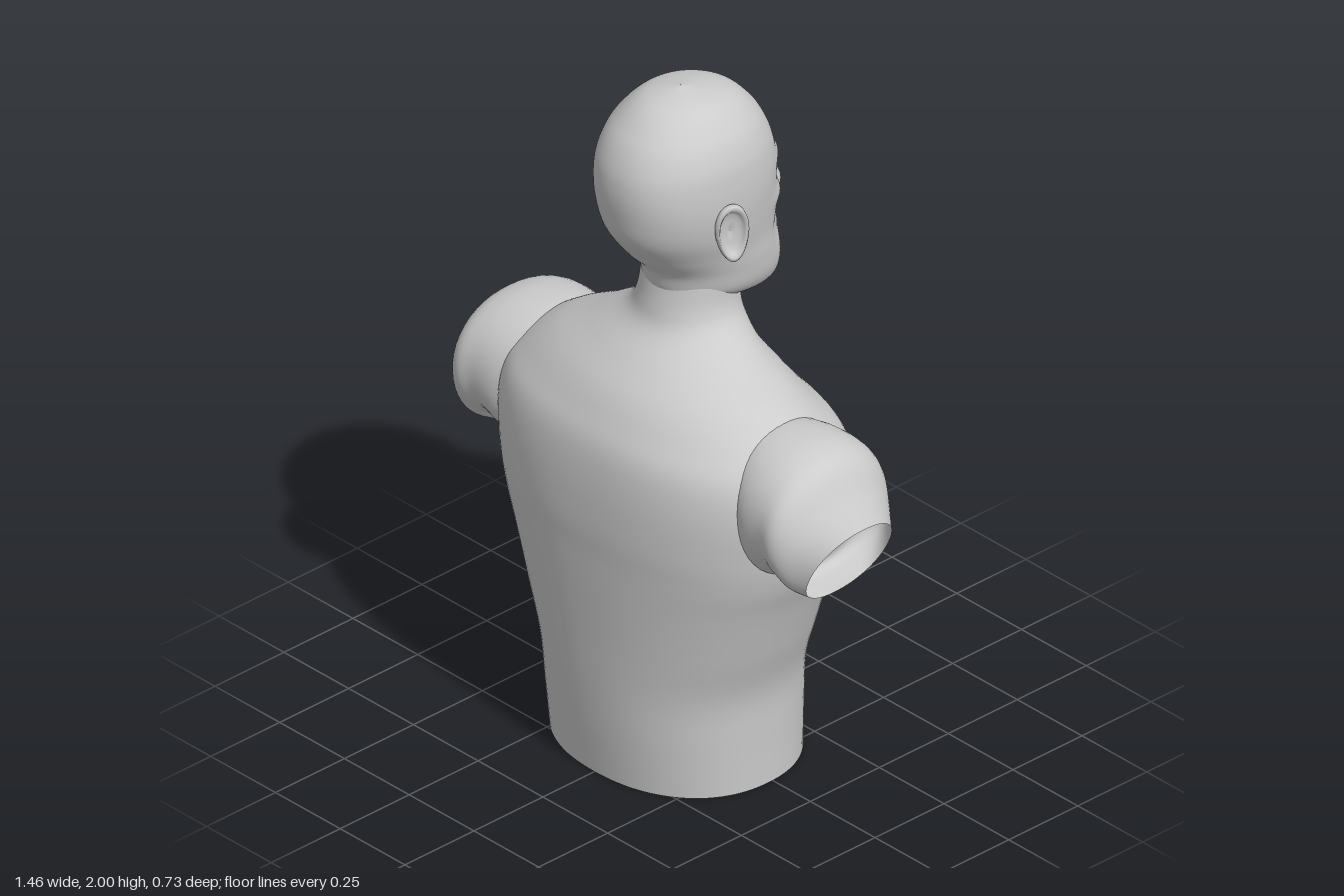
import * as THREE from 'three';

const material = new THREE.MeshStandardMaterial({ color: 0xcccccc, side: THREE.DoubleSide });

// Smooth interpolation through rows of numbers
function sampleRows(rows, t) {
  const f = t * (rows.length - 1), i = Math.min(Math.floor(f), rows.length - 2), k = f - i;
  const at = (n) => rows[Math.max(0, Math.min(rows.length - 1, n))];
  return rows[i].map((p1, c) => {
    const p0 = at(i - 1)[c], p2 = at(i + 1)[c], p3 = at(i + 2)[c];
    return p1 + 0.5 * k * (p2 - p0 + k * (2 * p0 - 5 * p1 + 4 * p2 - p3 + k * (3 * (p1 - p2) + p3 - p0)));
  });
}

// Tube of superellipse rings. frame(row) gives centre, two half axes and roundness.
// shape(p) may move a vertex, keep(p) may drop a face by its centre.
function loft(rows, frame, around, steps, shape, keep) {
  const points = [], index = [];
  for (let j = 0; j <= steps; j++) {
    const { centre, a, b, n } = frame(sampleRows(rows, j / steps));
    for (let i = 0; i < around; i++) {
      const t = (i / around) * Math.PI * 2, c = Math.cos(t), s = Math.sin(t);
      const r = Math.pow(Math.pow(Math.abs(c), n) + Math.pow(Math.abs(s), n), -1 / n);
      const p = centre.clone().addScaledVector(a, c * r).addScaledVector(b, s * r);
      if (shape) shape(p);
      points.push(p);
    }
  }
  for (let j = 0; j < steps; j++) {
    for (let i = 0; i < around; i++) {
      const k = (i + 1) % around;
      const q = [j * around + i, j * around + k, (j + 1) * around + k, (j + 1) * around + i];
      const mid = points[q[0]].clone().add(points[q[2]]).multiplyScalar(0.5);
      if (!keep || keep(mid)) index.push(q[0], q[1], q[2], q[0], q[2], q[3]);
    }
  }
  const geometry = new THREE.BufferGeometry().setFromPoints(points);
  geometry.setIndex(index);
  geometry.computeVertexNormals();
  return geometry;
}

// Upright section: half width, front z, front y, back z, back y, roundness
function uprightFrame([w, zf, yf, zb, yb, n]) {
  return {
    centre: new THREE.Vector3(0, (yf + yb) / 2, (zf + zb) / 2),
    a: new THREE.Vector3(w, 0, 0),
    b: new THREE.Vector3(0, (yf - yb) / 2, (zf - zb) / 2), n,
  };
}

// Arm section: top x, top y, bottom x, bottom y, front z, back z
function armFrame([tx, ty, bx, by, zf, zb]) {
  return {
    centre: new THREE.Vector3((tx + bx) / 2, (ty + by) / 2, (zf + zb) / 2),
    a: new THREE.Vector3((tx - bx) / 2, (ty - by) / 2, 0),
    b: new THREE.Vector3(0, 0, (zb - zf) / 2), n: 2.15,
  };
}

function mirrorX(geometry) {
  const g = geometry.clone().scale(-1, 1, 1), ix = g.index.array;
  for (let i = 0; i < ix.length; i += 3) [ix[i], ix[i + 1]] = [ix[i + 1], ix[i]];
  g.computeVertexNormals();
  return g;
}

export function createModel() {
  const model = new THREE.Group();
  model.name = 'bust';
  const add = (name, geometry) => {
    const mesh = new THREE.Mesh(geometry, material);
    mesh.name = name;
    model.add(mesh);
  };
  const addPair = (name, geometry) => {
    add('left' + name, mirrorX(geometry)); // the face looks towards -z
    add('right' + name, geometry);
  };

  // Torso and neck: half width, front z, y, back z, roundness; open at waist and arm holes
  const torsoRows = [
    [0.355, -0.28, 0, 0.313, 2.2], [0.36, -0.284, 0.15, 0.33, 2.2], [0.372, -0.286, 0.3, 0.342, 2.2],
    [0.42, -0.292, 0.45, 0.35, 2.25], [0.47, -0.305, 0.6, 0.358, 2.3], [0.51, -0.335, 0.7, 0.362, 2.35],
    [0.535, -0.366, 0.8, 0.366, 2.4], [0.545, -0.338, 0.93, 0.36, 2.4], [0.53, -0.3, 1.03, 0.343, 2.3],
    [0.48, -0.25, 1.1, 0.31, 2.1], [0.39, -0.205, 1.17, 0.265, 2], [0.27, -0.17, 1.235, 0.2, 2],
    [0.175, -0.162, 1.3, 0.13, 2], [0.142, -0.16, 1.36, 0.105, 2], [0.138, -0.15, 1.45, 0.085, 2],
  ].map(([w, zf, y, zb, n]) => [w, zf, y, zb, y, n]);
  const outsideArmHole = (p) =>
    Math.abs(p.x) < 0.4 || Math.hypot((p.y - 0.91) / 0.15, (p.z - 0.02) / 0.17) > 1;
  add('torso', loft(torsoRows, uprightFrame, 96, 84, null, outsideArmHole));

  // Shoulders with open, cut-off upper arms
  const armRows = [
    [0.36, 1.14, 0.45, 0.72, -0.15, 0.2], [0.46, 1.15, 0.5, 0.735, -0.185, 0.235],
    [0.56, 1.143, 0.55, 0.77, -0.185, 0.243], [0.63, 1.11, 0.58, 0.765, -0.172, 0.248],
    [0.682, 1.03, 0.6, 0.737, -0.15, 0.222], [0.73, 0.955, 0.615, 0.71, -0.122, 0.165],
  ];
  addPair('Shoulder', loft(armRows, armFrame, 48, 30));

  // Head, from under the jaw to the crown
  const headRows = [
    [0.005, -0.17, 1.35, -0.13, 1.36, 2], [0.07, -0.26, 1.332, 0, 1.375, 2],
    [0.12, -0.308, 1.345, 0.06, 1.385, 2], [0.152, -0.315, 1.4, 0.09, 1.41, 2],
    [0.168, -0.305, 1.48, 0.11, 1.47, 2], [0.178, -0.297, 1.55, 0.165, 1.53, 2],
    [0.193, -0.284, 1.62, 0.22, 1.61, 2.1], [0.203, -0.277, 1.7, 0.24, 1.69, 2.2],
    [0.204, -0.27, 1.77, 0.245, 1.77, 2.2], [0.196, -0.25, 1.84, 0.231, 1.84, 2.15],
    [0.167, -0.21, 1.91, 0.19, 1.91, 2.1], [0.105, -0.14, 1.968, 0.11, 1.977, 2],
    [0.001, -0.001, 2, 0.001, 2, 2],
  ];
  // Facial relief: x, y, x spread, y spread, height
  const relief = [
    [0.07, 1.738, 0.05, 0.018, 0.014], [0.075, 1.692, 0.036, 0.022, -0.032], // brow, eye socket
    [0.13, 1.63, 0.035, 0.03, 0.014], [0.115, 1.51, 0.035, 0.05, -0.014], // cheekbone, cheek
    [0, 1.505, 0.04, 0.012, 0.016], [0, 1.465, 0.036, 0.012, 0.018], // lips
    [0, 1.485, 0.05, 0.006, -0.016], [0, 1.43, 0.045, 0.014, -0.01], // mouth, chin crease
    [0, 1.385, 0.045, 0.025, 0.014], // chin
  ];
  const carveFace = (p) => {
    if (p.z > -0.1) return;
    const fade = Math.min(1, (-0.1 - p.z) / 0.08);
    let out = 0;
    for (const [x, y, sx, sy, h] of relief)
      out += h * Math.exp(-(((Math.abs(p.x) - x) / sx) ** 2) - ((p.y - y) / sy) ** 2);
    p.z -= out * fade;
  };
  add('head', loft(headRows, uprightFrame, 128, 132, carveFace));

  // Nose
  const noseRows = [
    [0.012, -0.29, 1.546, -0.24, 2], [0.042, -0.325, 1.553, -0.23, 1.8], [0.05, -0.353, 1.575, -0.22, 1.6],
    [0.04, -0.346, 1.605, -0.22, 1.7], [0.028, -0.318, 1.65, -0.22, 2], [0.022, -0.29, 1.7, -0.22, 2],
    [0.022, -0.275, 1.745, -0.22, 2],
  ].map(([w, zf, y, zb, n]) => [w, zf, y, zb, y, n]);
  add('nose', loft(noseRows, uprightFrame, 32, 30));

  // Eyes with upper and lower lids
  addPair('Eye', new THREE.SphereGeometry(0.026, 24, 16).scale(1.15, 0.75, 1).translate(0.075, 1.69, -0.222));
  for (const [name, rise] of [['UpperLid', 0.016], ['LowerLid', -0.013]]) {
    const path = new THREE.CatmullRomCurve3([
      new THREE.Vector3(0.04, 1.687, -0.235), new THREE.Vector3(0.06, 1.69 + rise, -0.243),
      new THREE.Vector3(0.088, 1.69 + rise, -0.239), new THREE.Vector3(0.113, 1.688, -0.222),
    ]);
    addPair(name, new THREE.TubeGeometry(path, 20, 0.005, 8));
  }

  // Ears: hollow dish with a rolled rim, narrowing to the lobe
  const earProfile = [[0.55, -0.03], [0.85, -0.012], [1, 0.006], [0.97, 0.018], [0.85, 0.02],
    [0.74, 0.012], [0.62, 0.002], [0.4, 0.003], [0.001, -0.006]].map(([r, h]) => new THREE.Vector2(r, h));
  const ear = new THREE.LatheGeometry(earProfile, 40).rotateZ(-Math.PI / 2).scale(1, 0.09, 0.054);
  const earPoints = ear.attributes.position;
  for (let i = 0; i < earPoints.count; i++)
    earPoints.setZ(i, earPoints.getZ(i) * (0.88 + 1.8 * earPoints.getY(i)));
  ear.rotateY(-0.3).rotateX(0.08).translate(0.203, 1.64, 0.01);
  ear.computeVertexNormals();
  addPair('Ear', ear);

  return model;
}
